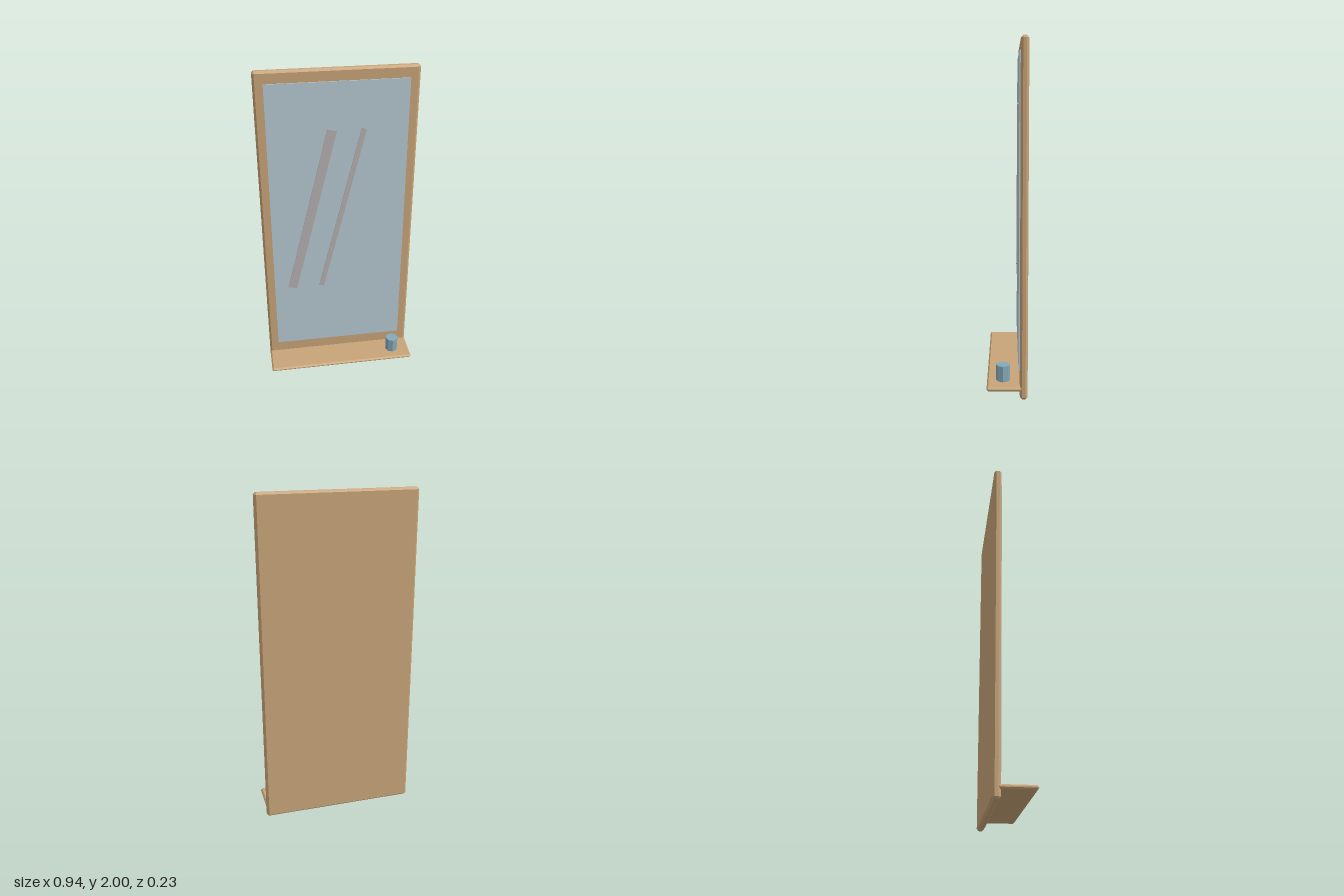
import * as THREE from 'three';
import { ConvexGeometry } from 'three/addons/geometries/ConvexGeometry.js';

const material = (color) => new THREE.MeshStandardMaterial({ color, flatShading: true });

// Box with every edge chamfered by c
function chamferBox(w, h, d, c) {
  const points = [];
  for (const sx of [-1, 1]) for (const sy of [-1, 1]) for (const sz of [-1, 1]) {
    const x = w / 2, y = h / 2, z = d / 2;
    points.push(
      new THREE.Vector3(sx * x, sy * (y - c), sz * (z - c)),
      new THREE.Vector3(sx * (x - c), sy * y, sz * (z - c)),
      new THREE.Vector3(sx * (x - c), sy * (y - c), sz * z));
  }
  return new ConvexGeometry(points);
}

export function createModel() {
  const group = new THREE.Group();
  const wood = material(0xc8a478);
  const glass = material(0xb4c8d0);
  const shine = material(0xb4b0ae);
  const blue = material(0x84a8b8);

  const add = (name, geometry, mat, x, y, z) => {
    const mesh = new THREE.Mesh(geometry, mat);
    mesh.name = name;
    mesh.position.set(x, y, z);
    group.add(mesh);
    return mesh;
  };

  // Backing board that forms the frame
  add('frame', chamferBox(0.936, 2, 0.044, 0.012), wood, 0, 1, -0.095);

  // Mirror pane set slightly proud of the frame
  add('mirrorPane', new THREE.BoxGeometry(0.822, 1.785, 0.014), glass, 0, 1.038, -0.073);

  // Slanted reflection streaks
  for (const [name, x, width] of [['wideStreak', -0.166, 0.056], ['narrowStreak', 0.021, 0.03]]) {
    const streak = add(name, new THREE.BoxGeometry(width, 1.095, 0.006), shine, x, 1.12, -0.064);
    streak.rotation.z = -0.242;
  }

  // Shelf and the cup standing on it
  add('shelf', chamferBox(0.936, 0.024, 0.205, 0.009), wood, 0, 0.061, 0.0125);
  add('cup', new THREE.CylinderGeometry(0.041, 0.041, 0.094, 8), blue, 0.352, 0.119, 0.022);

  return group;
}
